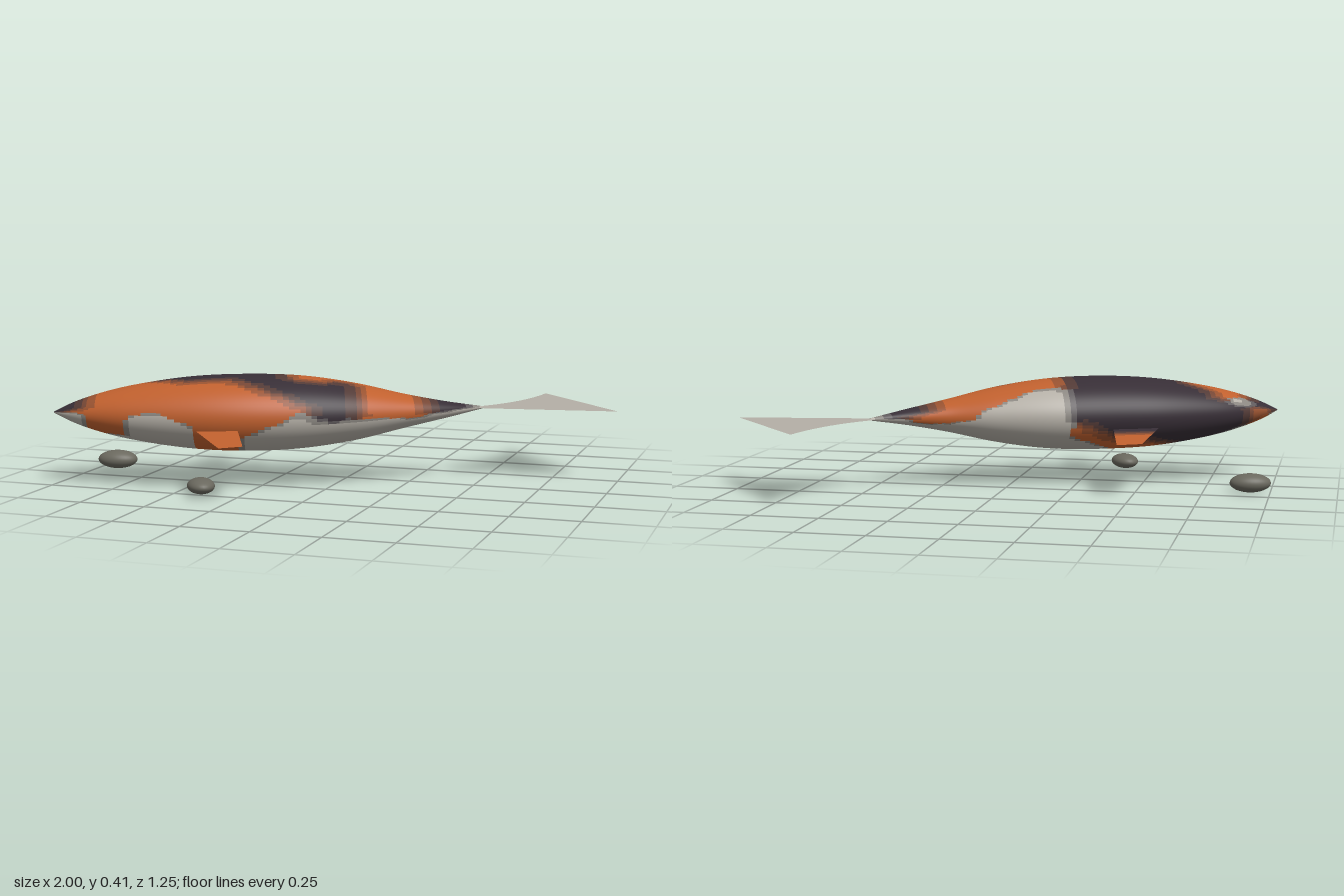
import * as THREE from 'three';

const MIDY = 0.273;

function mat(name, color, side = THREE.FrontSide) {
  const m = new THREE.MeshStandardMaterial({ color, side });
  m.name = name;
  return m;
}

// Skin patches: one row per 15 degrees (top, +z flank, belly, -z flank), nose to tail.
// D = dark, O = orange, W = white
const SKIN = [
  'DDOOODDDDDDOOOOOODDW',
  'DDOOOODDDDDOODOOODDW',
  'DDOOOOOOODDDDDOOODDW',
  'DDOOOOOOOODDDDOOODDW',
  'DDOOOOOOOOODDDOOODDW',
  'DOOOOOOOOOOODDOOODDW',
  'WWOOWWOOOOOWDDOOODWW',
  'WWOOWWWOOOWWWWWWOWWW',
  'WWOOWWWOOWWWWWWWWWWW',
  'WWOOWWWOOWWWWWWWWWWW',
  'WWOWWWWOOWWWWWWWWWWW',
  'WWOWWWWOOWWWWWWWWWWW',
  'WOOWWWOOOWWWWWWWWWWW',
  'WOOWWDOOOWWWWWWWWWWW',
  'OOWDDDOOOWWWWWWWWWWW',
  'WODDDDDOOOWWWWWWWWWW',
  'WODDDDDDDOOWWWWWWOWW',
  'DODDDDDDDDOWWWWWOOWW',
  'DODDDDDDDDDWWWWOOODW',
  'DODDDDDDDDDWWWWOOODW',
  'DDWDDDDDDDDWWWOOODDW',
  'DDWODDDDDDDWWOOOODDW',
  'DDOODDDDDDDOOOOOODDW',
  'DDOOODDDDDDOOOOOODDW',
];
const ROWS = SKIN.length, COLS = SKIN[0].length;

// Blend of the nearby patch cells, stepped into tone bands. Returns a material index:
// 0 orange, 1 dark, 2 white, 3 rust, 4 brown, 5 umber, 6 grey, 7 dark grey
function skinAt(col, row) {
  const w = { O: 0, D: 0, W: 0 };
  for (const [sc, sr] of [[-0.3, -0.3], [0.3, -0.3], [-0.3, 0.3], [0.3, 0.3]]) {
    const c = Math.min(COLS - 1, Math.max(0, col + sc)), r = row + sr + ROWS;
    const c0 = Math.min(COLS - 2, Math.floor(c)), r0 = Math.floor(r), fc = c - c0, fr = r - r0;
    for (const [dc, dr] of [[0, 0], [1, 0], [0, 1], [1, 1]]) {
      w[SKIN[(r0 + dr) % ROWS][c0 + dc]] += 0.25 * (dc ? fc : 1 - fc) * (dr ? fr : 1 - fr);
    }
  }
  const [a, b] = Object.keys(w).sort((p, q) => w[q] - w[p]);
  const pure = { O: 0, D: 1, W: 2 }[a];
  if (w[a] > 0.85) return pure;
  if (a !== 'D' && b !== 'D') return w[a] < 0.57 ? 6 : pure;
  const share = w.D / (w[a] + w[b]);
  if (a === 'O' || b === 'O') return share < 0.4 ? 3 : share < 0.62 ? 4 : 5;
  if (share < 0.25 || share > 0.75) return pure;
  return share < 0.5 ? 6 : 7;
}

// Body: elliptical sections swept along a gently bent spine
function bodyGeometry() {
  // x, half width, z
  const stations = [
    [-1, 0.003, 0.47], [-0.94, 0.048, 0.447], [-0.865, 0.09, 0.422], [-0.745, 0.138, 0.38],
    [-0.525, 0.19, 0.305], [-0.32, 0.205, 0.238], [-0.125, 0.194, 0.158], [0.06, 0.153, 0.085],
    [0.235, 0.09, 0.008], [0.37, 0.045, -0.07], [0.49, 0.006, -0.17],
  ];
  const curve = new THREE.CatmullRomCurve3(stations.map((s) => new THREE.Vector3(...s)));
  const N = 96, M = 72;
  const pos = [], xs = [];
  for (let i = 0; i <= N; i++) {
    const p = curve.getPoint(i / N), t = curve.getTangent(i / N);
    const len = Math.hypot(t.x, t.z), nx = -t.z / len, nz = t.x / len;
    xs.push(p.x);
    for (let j = 0; j < M; j++) {
      const a = (j / M) * Math.PI * 2, s = Math.sin(a) * p.y;
      pos.push(p.x + nx * s, MIDY + Math.cos(a) * p.y * 0.695, p.z + nz * s);
    }
  }
  const faces = Array.from({ length: 8 }, () => []);
  for (let i = 0; i < N; i++) {
    for (let j = 0; j < M; j++) {
      const k = (j + 1) % M, a = i * M + j, b = i * M + k, c = a + M, d = b + M;
      const col = (((xs[i] + xs[i + 1]) / 2 + 1) / 1.49) * (COLS - 1);
      faces[skinAt(col, ((j + 0.5) / M) * ROWS)].push(a, b, c, b, d, c);
    }
  }
  const g = new THREE.BufferGeometry();
  g.setAttribute('position', new THREE.Float32BufferAttribute(pos, 3));
  g.setIndex(faces.flat());
  let start = 0;
  faces.forEach((f, m) => {
    if (f.length) g.addGroup(start, f.length, m);
    start += f.length;
  });
  g.computeVertexNormals();
  return g;
}

// Flat four-cornered panel
function panel(a, b, c, d) {
  const g = new THREE.BufferGeometry();
  g.setAttribute('position', new THREE.Float32BufferAttribute([...a, ...b, ...c, ...d], 3));
  g.setIndex([0, 1, 2, 0, 2, 3]);
  g.computeVertexNormals();
  return g;
}

const lerp = (a, b, t) => a.map((v, i) => v + (b[i] - v) * t);

export function createModel() {
  const DS = THREE.DoubleSide;
  const orange = mat('orange', 0xc0602e, DS);
  const dark = mat('dark', 0x372e36, DS);
  const white = mat('white', 0xb4afa6, DS);
  const rust = mat('rust', 0x985230, DS);
  const brown = mat('brown', 0x754634, DS);
  const umber = mat('umber', 0x523a36, DS);
  const grey = mat('grey', 0x8a8680);
  const darkGrey = mat('dark grey', 0x5e595b);
  const stone = mat('stone', 0x6a685e);

  const model = new THREE.Group();
  model.name = 'fish';
  const add = (name, geometry, material, parent = model) => {
    const m = new THREE.Mesh(geometry, material);
    m.name = name;
    parent.add(m);
    return m;
  };

  add('body', bodyGeometry(), [orange, dark, white, rust, brown, umber, grey, darkGrey]);

  // Pectoral fins, banded from root to tip
  const fin = (name, rootA, rootB, tipB, tipA, bands) => {
    const g = new THREE.Group();
    g.name = name;
    model.add(g);
    bands.forEach(([from, to, material], i) => {
      add(`${name}Band${i + 1}`, panel(lerp(rootA, tipA, from), lerp(rootB, tipB, from),
        lerp(rootB, tipB, to), lerp(rootA, tipA, to)), material, g);
    });
  };
  fin('leftFin', [-0.45, 0.235, 0.44], [-0.29, 0.238, 0.4], [-0.19, 0.206, 0.59], [-0.27, 0.2, 0.62],
    [[0, 1, orange]]);
  fin('rightFin', [-0.575, 0.235, 0.15], [-0.4, 0.235, 0.09], [-0.45, 0.2, -0.14], [-0.54, 0.203, -0.11],
    [[0, 0.26, dark], [0.26, 0.33, umber], [0.33, 0.4, brown], [0.4, 0.47, rust], [0.47, 1, orange]]);

  // Level tail fan, drawn as x and -z
  const tail = new THREE.Shape();
  tail.moveTo(0.465, 0.18);
  tail.quadraticCurveTo(0.61, 0.35, 0.64, 0.63);
  tail.lineTo(1, 0.22);
  tail.lineTo(0.49, 0.14);
  const tailGeometry = new THREE.ShapeGeometry(tail, 12);
  tailGeometry.rotateX(-Math.PI / 2);
  add('tailFin', tailGeometry, white).position.y = MIDY;

  // Pebbles
  const pebble = (name, at, radii, turn) => {
    const m = add(name, new THREE.SphereGeometry(1, 32, 20), stone);
    m.position.set(...at);
    m.scale.set(...radii);
    m.rotation.y = turn;
  };
  pebble('largePebble', [-0.925, 0.037, 0.1], [0.078, 0.036, 0.05], 0.2);
  pebble('smallPebble', [-0.385, 0.04, 0.515], [0.069, 0.029, 0.05], -1.0);

  return model;
}
